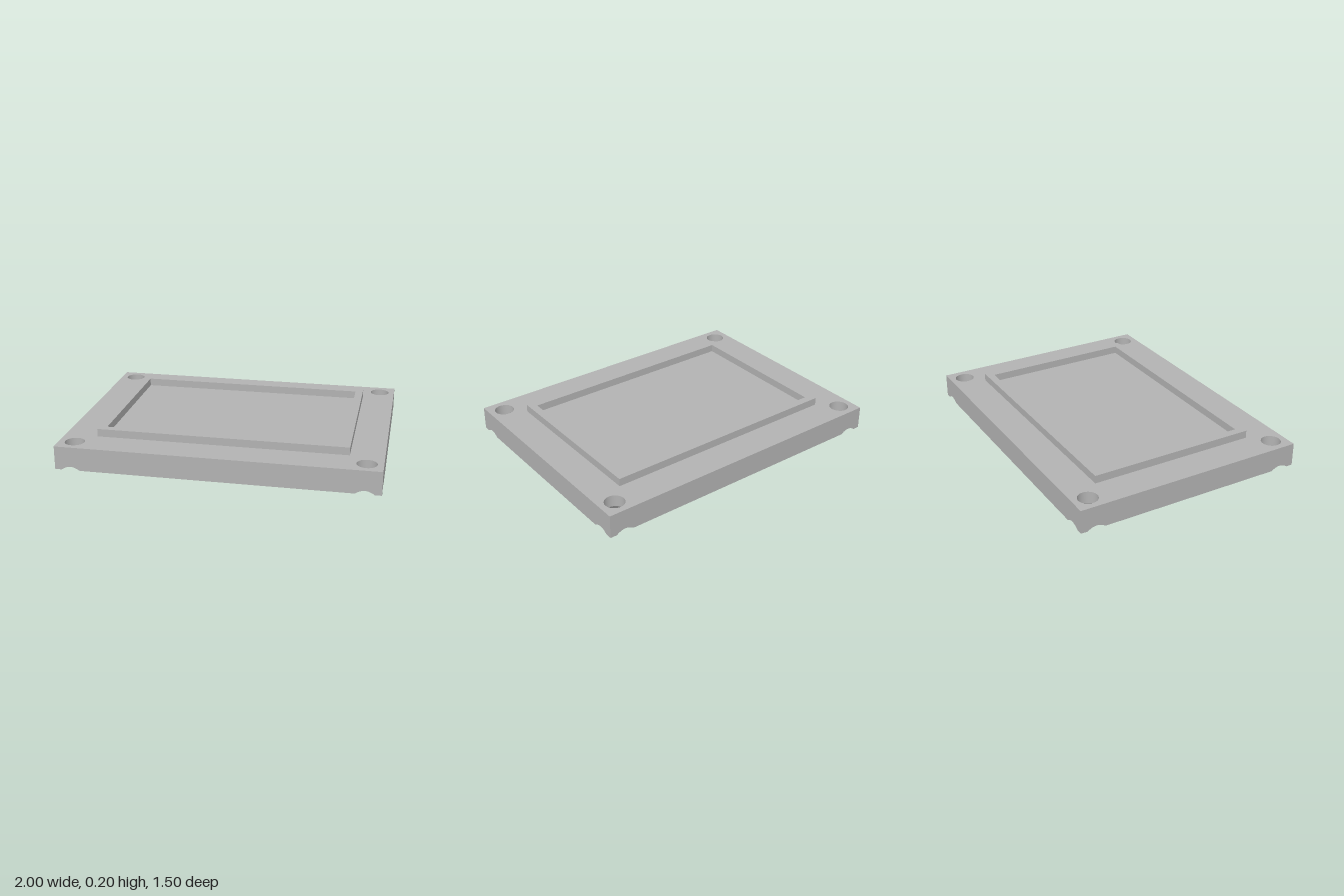
import * as THREE from 'three';

const W = 1, D = 0.75, H = 0.15;          // plate half width, half depth, height
const HX = 0.9, HZ = 0.65, R = 0.062;     // corner hole positions and radius
const EDGE = 0.1;                         // hole centre to plate edge
const SINK = EDGE / Math.cos(Math.PI / 6), SINK_H = 0.075; // countersink
const BLIND_X = 0.5, BLIND_H = 0.1;       // blind holes underneath
const rad = THREE.MathUtils.degToRad;
const V2 = (x, y) => new THREE.Vector2(x, y);

// height on the countersink cone at a given radius
const coneY = r => (SINK - r) / (SINK - R) * SINK_H;

const rect = (w, d) => [V2(-w, -d), V2(w, -d), V2(w, d), V2(-w, d)];
const circle = (x, y, r) => new THREE.Path().absarc(x, y, r, 0, Math.PI * 2, true);
const corners = [[1, 1], [-1, 1], [-1, -1], [1, -1]];

// points on the countersink circle of the corner with signs sx, sz
function arc(sx, sz, from, to) {
  const pts = [], n = Math.round(Math.abs(to - from) / 5);
  for (let i = 0; i <= n; i++) {
    const a = rad(from + (to - from) * i / n);
    pts.push(V2(sx * (HX + SINK * Math.cos(a)), sz * (HZ + SINK * Math.sin(a))));
  }
  return pts;
}

// side wall with a curved notch where each countersink breaks through
function wallGeometry(half) {
  const pts = [V2(half, 0), V2(half, H), V2(-half, H), V2(-half, 0)];
  for (const c of [-(half - EDGE), half - EDGE]) {
    for (let a = -30; a <= 30; a += 5) {
      pts.push(V2(c + EDGE * Math.tan(rad(a)), Math.max(0, coneY(EDGE / Math.cos(rad(a))))));
    }
  }
  return new THREE.ShapeGeometry(new THREE.Shape(pts));
}

// cone trimmed by the plate's two outer sides
function countersinkGeometry(sx, sz) {
  const pos = [], nor = [], idx = [], n = 72;
  const slope = (SINK - R) / SINK_H, len = Math.hypot(1, slope);
  for (let i = 0; i <= n; i++) {
    const a = rad(i * 5), c = Math.cos(a), s = Math.sin(a);
    const r = Math.min(SINK, c * sx > 0.01 ? EDGE / (c * sx) : 9, s * sz > 0.01 ? EDGE / (s * sz) : 9);
    pos.push(r * c, coneY(r), r * s, R * c, SINK_H, R * s);
    for (let k = 0; k < 2; k++) nor.push(-c / len, -slope / len, -s / len);
    if (i < n) {
      const b = i * 2;
      idx.push(b, b + 2, b + 1, b + 1, b + 2, b + 3);
    }
  }
  const g = new THREE.BufferGeometry();
  g.setAttribute('position', new THREE.Float32BufferAttribute(pos, 3));
  g.setAttribute('normal', new THREE.Float32BufferAttribute(nor, 3));
  g.setIndex(idx);
  return g;
}

export function createModel() {
  const model = new THREE.Group();
  const grey = new THREE.MeshStandardMaterial({ color: 0xb2b2b2, side: THREE.DoubleSide });
  grey.name = 'grey';
  const add = (name, geometry, x = 0, y = 0, z = 0) => {
    const mesh = new THREE.Mesh(geometry, grey);
    mesh.name = name;
    mesh.position.set(x, y, z);
    model.add(mesh);
    return mesh;
  };

  // top face with four through holes
  const top = new THREE.Shape(rect(W, D));
  for (const [sx, sz] of corners) top.holes.push(circle(sx * HX, sz * HZ, R));
  add('plateTop', new THREE.ShapeGeometry(top, 72).rotateX(-Math.PI / 2), 0, H);

  // raised rectangular rim
  const rim = new THREE.Shape(rect(0.79, 0.54));
  rim.holes.push(new THREE.Path(rect(0.74, 0.49).reverse()));
  const rimGeometry = new THREE.ExtrudeGeometry(rim, { depth: 0.05, bevelEnabled: false });
  add('rim', rimGeometry.rotateX(-Math.PI / 2), 0, H);

  // underside, cut away around the countersinks
  const outline = [];
  corners.forEach(([sx, sz]) => {
    const pts = arc(sx, sz, -30, -240);
    outline.push(...(sx * sz > 0 ? pts : pts.reverse()));
  });
  const bottom = new THREE.Shape(outline);
  for (const s of [-1, 1]) bottom.holes.push(circle(s * BLIND_X, 0, R));
  add('plateBottom', new THREE.ShapeGeometry(bottom, 72).rotateX(Math.PI / 2));

  // side walls
  for (const s of [0, 1]) {
    const turn = s * Math.PI, sign = s ? -1 : 1;
    add(s ? 'backWall' : 'frontWall', wallGeometry(W), 0, 0, sign * D).rotation.y = turn;
    add(s ? 'rightWall' : 'leftWall', wallGeometry(D), sign * W).rotation.y = turn + Math.PI / 2;
  }

  // corner holes, countersinks and the small feet left outside them
  for (const [sx, sz] of corners) {
    add('holeWall', new THREE.CylinderGeometry(R, R, H - SINK_H, 72, 1, true), sx * HX, (H + SINK_H) / 2, sz * HZ);
    add('countersink', countersinkGeometry(sx, sz), sx * HX, 0, sz * HZ);
    const foot = new THREE.Shape([V2(sx * W, sz * D), ...arc(sx, sz, 60, 30)]);
    add('cornerFoot', new THREE.ShapeGeometry(foot).rotateX(Math.PI / 2));
  }

  // blind holes in the underside
  for (const s of [-1, 1]) {
    add('blindHoleWall', new THREE.CylinderGeometry(R, R, BLIND_H, 72, 1, true), s * BLIND_X, BLIND_H / 2);
    add('blindHoleEnd', new THREE.CircleGeometry(R, 72).rotateX(Math.PI / 2), s * BLIND_X, BLIND_H);
  }
  return model;
}
